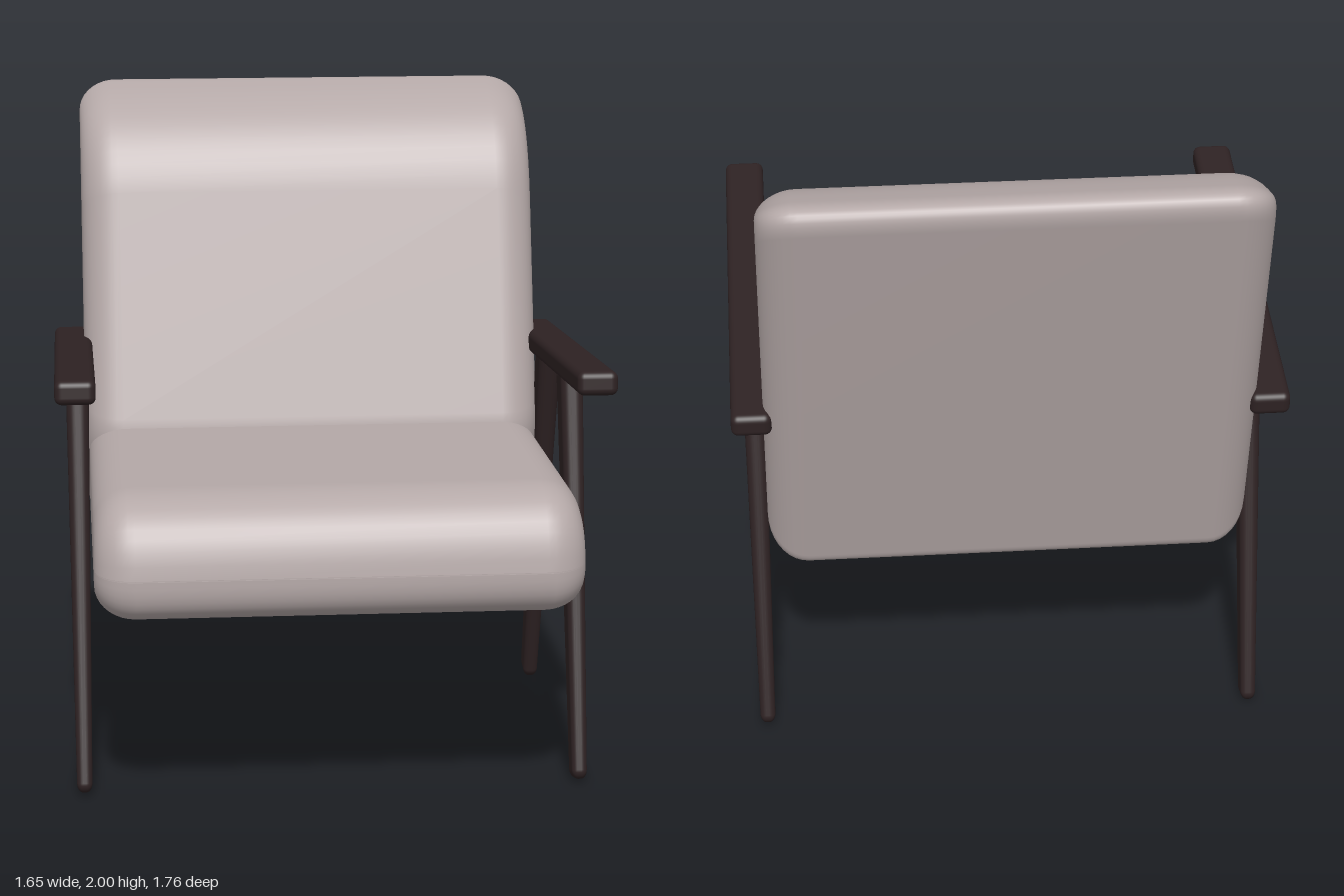
import * as THREE from 'three';
import { RoundedBoxGeometry } from 'three/addons/geometries/RoundedBoxGeometry.js';

// Side outline as [z, y, corner radius], corners softened by quadratic curves
function roundedProfile(corners) {
  const n = corners.length, out = [];
  corners.forEach(([z, y, r], i) => {
    const p = new THREE.Vector2(z, y);
    const toward = ([a, b]) => new THREE.Vector2(a, b).sub(p).setLength(r).add(p);
    const curve = new THREE.QuadraticBezierCurve(
      toward(corners[(i + n - 1) % n]), p, toward(corners[(i + 1) % n]));
    out.push(...curve.getPoints(10));
  });
  return out;
}

// Cushion: the outline swept across x, drawn in at both ends for soft edges
function cushion(corners, halfWidth, roundX, inset, tilt) {
  const origin = new THREE.Vector2();
  const local = roundedProfile(corners).map(p => p.rotateAround(origin, -tilt));
  const box = new THREE.Box2().setFromPoints(local);
  const mid = box.getCenter(new THREE.Vector2());
  const size = box.getSize(new THREE.Vector2());
  const rings = [], steps = 9;
  for (let k = 0; k <= steps; k++) {
    const a = (k / steps) * Math.PI / 2;
    rings.push([halfWidth - roundX * (1 - Math.sin(a)), inset * (1 - Math.cos(a))]);
  }
  const all = [...rings.slice().reverse().map(([x, d]) => [-x, d]), ...rings];
  const pos = [], index = [], n = local.length;
  for (const [x, d] of all) {
    const s = new THREE.Vector2(1 - 2 * d / size.x, 1 - 2 * d / size.y);
    for (const p of local) {
      const q = p.clone().sub(mid).multiply(s).add(mid).rotateAround(origin, tilt);
      pos.push(x, q.y, q.x);
    }
  }
  const c = mid.clone().rotateAround(origin, tilt);
  const last = (all.length - 1) * n, centre = all.length * n;
  pos.push(-halfWidth, c.y, c.x, halfWidth, c.y, c.x);
  for (let i = 0; i < n; i++) {
    const k = (i + 1) % n;
    for (let j = 0; j < all.length - 1; j++) {
      const a = j * n + i, b = a + n, e = j * n + k, f = e + n;
      index.push(a, b, f, a, f, e);
    }
    index.push(centre, i, k, centre + 1, last + k, last + i);
  }
  const g = new THREE.BufferGeometry();
  g.setAttribute('position', new THREE.Float32BufferAttribute(pos, 3));
  g.setIndex(index);
  g.computeVertexNormals();
  return g;
}

// Tapered leg running from its foot to its top, both [z, y]
function leg(foot, top) {
  const dz = top[0] - foot[0], dy = top[1] - foot[1], len = Math.hypot(dz, dy);
  const g = new RoundedBoxGeometry(0.07, len, 0.13, 4, 0.028);
  const p = g.attributes.position;
  for (let i = 0; i < p.count; i++) {
    const s = THREE.MathUtils.lerp(0.66, 1, p.getY(i) / len + 0.5);
    p.setX(i, p.getX(i) * s);
    p.setZ(i, p.getZ(i) * s);
  }
  g.rotateX(Math.atan2(dz, dy));
  g.translate(0, (foot[1] + top[1]) / 2, (foot[0] + top[0]) / 2);
  return g;
}

export function createModel() {
  const fabric = new THREE.MeshStandardMaterial({ color: 0xb5a9a8 });
  fabric.name = 'fabric';
  const wood = new THREE.MeshStandardMaterial({ color: 0x2e2223 });
  wood.name = 'darkWood';

  const model = new THREE.Group();
  model.name = 'armchair';
  const add = (name, geometry, material, parent = model) => {
    const mesh = new THREE.Mesh(geometry, material);
    mesh.name = name;
    parent.add(mesh);
    return mesh;
  };

  // Upholstery
  add('seatCushion', cushion([
    [0.895, 0.64, 0.14], [0.865, 1.005, 0.23], [-0.42, 0.96, 0.06], [-0.47, 0.6, 0.06],
  ], 0.72, 0.12, 0.1, 0), fabric);
  add('backCushion', cushion([
    [-0.47, 0.61, 0.05], [-0.17, 0.87, 0.13], [-0.5, 1.93, 0.25],
    [-0.895, 2.02, 0.1], [-0.545, 0.585, 0.05],
  ], 0.73, 0.12, 0.11, 0.27), fabric);

  // Armrest and legs on each side
  for (const [side, x] of [['left', 1], ['right', -1]]) {
    const frame = new THREE.Group();
    frame.name = side + 'Frame';
    model.add(frame);
    const arm = add('armrest', new RoundedBoxGeometry(0.12, 0.072, 1.36, 4, 0.022), wood, frame);
    arm.position.set(x * 0.765, 1.233, 0.015);
    arm.rotation.x = -0.09;
    add('frontLeg', leg([0.515, 0.01], [0.195, 1.235]), wood, frame).position.x = x * 0.757;
    add('backLeg', leg([-0.55, 0.01], [-0.23, 1.215]), wood, frame).position.x = x * 0.757;
  }
  return model;
}
